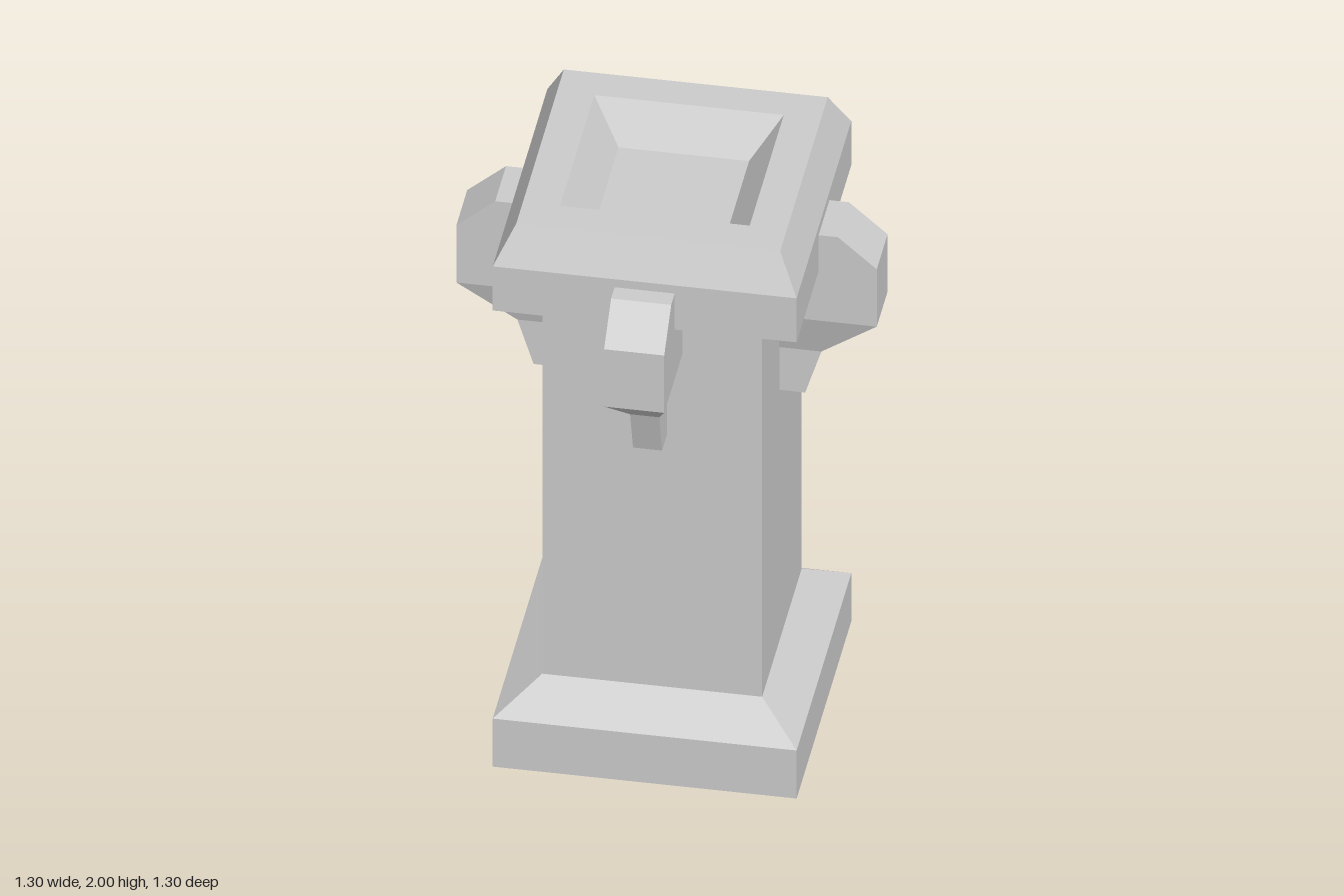
import * as THREE from 'three';

const material = new THREE.MeshStandardMaterial({ color: 0xcccccc, flatShading: true });

// Square "turned" solid from a profile of [half width, height] points, bottom to top
function squareTurned(name, profile) {
  const points = profile.map(([half, y]) => new THREE.Vector2(half * Math.SQRT2, y));
  const mesh = new THREE.Mesh(new THREE.LatheGeometry(points, 4, Math.PI / 4), material);
  mesh.name = name;
  return mesh;
}

// Bracket: a box whose horizontal rings follow [height, reach from axis, half width]
function bracketGeometry() {
  const rings = [
    [1.215, 0.42, 0.045],
    [1.375, 0.47, 0.045],
    [1.525, 0.65, 0.093],
    [1.74, 0.65, 0.093],
    [1.845, 0.53, 0.093],
  ];
  const inner = 0.33; // just inside the shaft
  const geometry = new THREE.BoxGeometry(1, 1, 1, 1, rings.length - 1, 1);
  const pos = geometry.attributes.position;
  for (let i = 0; i < pos.count; i++) {
    const ring = Math.round((pos.getY(i) + 0.5) * (rings.length - 1));
    const [y, reach, half] = rings[ring];
    pos.setXYZ(i, Math.sign(pos.getX(i)) * half, y, pos.getZ(i) > 0 ? reach : inner);
  }
  geometry.computeVertexNormals();
  return geometry;
}

export function createModel() {
  const model = new THREE.Group();
  model.name = 'pedestal';

  // Stepped foot, plain shaft, and cap with a sunken basin
  model.add(squareTurned('base', [[0, 0], [0.47, 0], [0.47, 0.18], [0.34, 0.273]]));
  model.add(squareTurned('shaft', [[0.34, 0.273], [0.34, 1.615]]));
  model.add(squareTurned('cap', [
    [0.34, 1.615], [0.47, 1.71], [0.47, 1.875], [0.408, 2],
    [0.293, 2], [0.202, 1.88], [0, 1.88],
  ]));

  // One bracket on each side
  const geometry = bracketGeometry();
  ['front', 'left', 'back', 'right'].forEach((side, i) => {
    const bracket = new THREE.Mesh(geometry, material);
    bracket.name = side + 'Bracket';
    bracket.rotation.y = (i * Math.PI) / 2;
    model.add(bracket);
  });
  return model;
}
